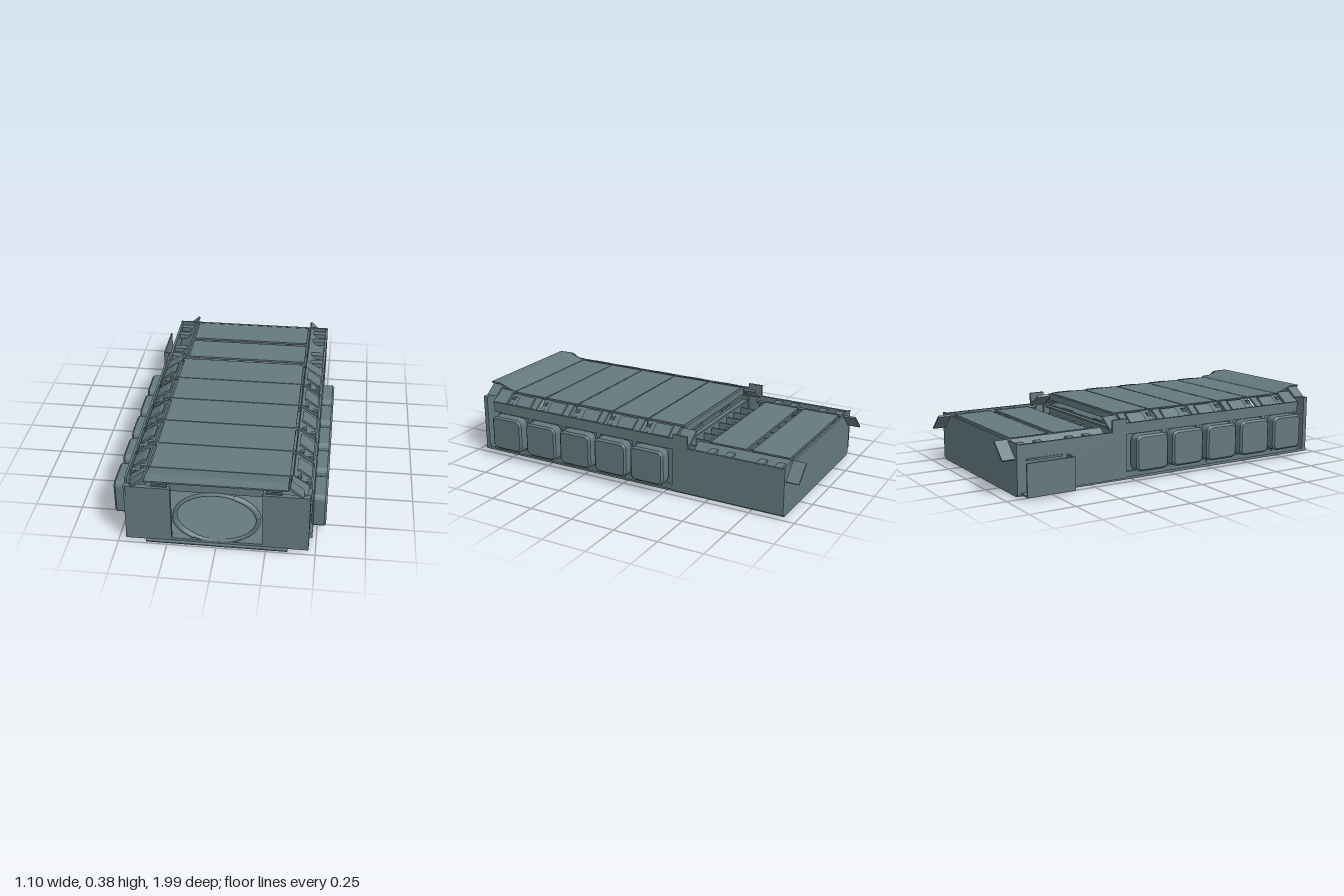
import * as THREE from 'three';

export function createModel() {
  const model = new THREE.Group();
  const slate = new THREE.MeshStandardMaterial({ color: 0x64797e });
  slate.name = 'slate blue grey';

  const add = (name, geo) => {
    const m = new THREE.Mesh(geo, slate);
    m.name = name;
    model.add(m);
    return m;
  };
  // box given by its limits
  const box = (name, x0, x1, y0, y1, z0, z1) =>
    add(name, new THREE.BoxGeometry(Math.abs(x1 - x0), y1 - y0, z1 - z0)
      .translate((x0 + x1) / 2, (y0 + y1) / 2, (z0 + z1) / 2));
  const poly = (pts) => new THREE.Shape(pts.map((p) => new THREE.Vector2(p[0], p[1])));
  // cross-section in x and y, run along z
  const alongZ = (name, pts, z0, z1) =>
    add(name, new THREE.ExtrudeGeometry(poly(pts), { depth: z1 - z0, bevelEnabled: false }).translate(0, 0, z0));
  // profile in z and y, run along x
  const alongX = (name, pts, x0, x1) =>
    add(name, new THREE.ExtrudeGeometry(poly(pts), { depth: x1 - x0, bevelEnabled: false })
      .rotateY(-Math.PI / 2).translate(x1, 0, 0));

  // floor and rear wall
  box('floor', -0.465, 0.465, 0.003, 0.02, -0.93, 0.97);
  box('frontSill', -0.36, 0.36, 0, 0.006, 0.85, 0.99);
  box('rearWall', -0.48, 0.48, 0.015, 0.275, -0.93, -0.918);

  // main roof panels, the front one flaring up
  const seams = [-0.3, -0.08, 0.15, 0.38, 0.6, 0.82];
  for (let i = 0; i < 5; i++) {
    box('roofPanel', -0.355, 0.355, 0.333, 0.345, seams[i] + 0.003, seams[i + 1] - 0.003);
  }
  for (const z of seams) {
    box('roofBeam', -0.355, 0.355, 0.306, 0.336, z - 0.012, z + 0.012);
    box('roofSeam', -0.365, 0.365, 0.334, 0.342, z - 0.012, z + 0.012);
  }
  alongX('frontRoofPanel', [[0.823, 0.333], [0.87, 0.35], [0.93, 0.37], [0.99, 0.373],
    [0.99, 0.381], [0.93, 0.381], [0.87, 0.362], [0.823, 0.345]], -0.355, 0.355);
  box('roofFrontBeam', -0.235, 0.235, 0.306, 0.375, 0.94, 0.955);

  // rear deck panels over the open bay
  box('rearDeckPanel', -0.355, 0.355, 0.268, 0.28, -0.905, -0.695);
  box('rearDeckPanel', -0.355, 0.355, 0.268, 0.28, -0.66, -0.455);
  box('bayCrossbar', -0.365, 0.365, 0.262, 0.272, -0.335, -0.31);
  box('bayGrate', -0.36, 0.36, 0.15, 0.16, -0.72, -0.31);
  for (let i = 0; i < 8; i++) {
    const x = -0.33 + i * 0.0943;
    box('bayRib', x - 0.006, x + 0.006, 0.16, 0.23, -0.9, -0.31);
  }
  for (const z of [-0.68, -0.42, -0.37]) box('bayTie', -0.36, 0.36, 0.2, 0.212, z - 0.006, z + 0.006);

  // inner bulkhead with a chamfered door and round hub
  box('bulkhead', -0.36, 0.36, 0.02, 0.275, -0.31, -0.295);
  box('doorPanel', -0.115, 0.115, 0.03, 0.265, -0.295, -0.27);
  const frame = poly([[-0.125, 0.02], [0.125, 0.02], [0.125, 0.19], [0.085, 0.235], [-0.085, 0.235], [-0.125, 0.19]]);
  frame.holes.push(new THREE.Path([[-0.11, 0.03], [0.11, 0.03], [0.11, 0.185], [0.078, 0.222], [-0.078, 0.222], [-0.11, 0.185]]
    .map((p) => new THREE.Vector2(p[0], p[1]))));
  add('doorFrame', new THREE.ExtrudeGeometry(frame, { depth: 0.03, bevelEnabled: false }).translate(0, 0, -0.27));
  add('doorHub', new THREE.TorusGeometry(0.027, 0.005, 8, 28).translate(0, 0.115, -0.268));

  // oval entrance ring with two collars
  add('entranceRing', new THREE.TorusGeometry(0.21, 0.012, 10, 64).scale(1, 0.69, 1).translate(0, 0.16, 0.96));
  for (const a of [0.15, Math.PI]) {
    add('ringCollar', new THREE.TorusGeometry(0.212, 0.017, 10, 24, 1.0).rotateZ(a).scale(1, 0.69, 1).translate(0, 0.16, 0.96));
  }

  // pod: rounded panel that stands out from the wall, bevelled all round
  const w = 0.09, h = 0.087, r = 0.025;
  const podShape = new THREE.Shape();
  podShape.moveTo(-w + r, -h).lineTo(w - r, -h).quadraticCurveTo(w, -h, w, -h + r)
    .lineTo(w, h - r).quadraticCurveTo(w, h, w - r, h).lineTo(-w + r, h)
    .quadraticCurveTo(-w, h, -w, h - r).lineTo(-w, -h + r).quadraticCurveTo(-w, -h, -w + r, -h);
  const podGeo = new THREE.ExtrudeGeometry(podShape, {
    depth: 0.055, bevelThickness: 0.01, bevelSize: 0.01, bevelSegments: 1, curveSegments: 4,
  }).rotateY(Math.PI / 2);

  for (const s of [1, -1]) {
    const side = (name, x0, x1, ...rest) => box(name, s * x0, s * x1, ...rest);
    const strip = (name, pts, z0, z1) => alongZ(name, pts.map((p) => [s * p[0], p[1]]), z0, z1);

    // side walls
    side('sideWall', 0.45, 0.465, 0.02, 0.26, -0.3, 0.86);
    side('wallFoot', 0.45, 0.48, 0.02, 0.05, -0.3, 0.89);
    side('rearSideWall', 0.466, 0.48, 0.015, 0.27, -0.93, -0.295);
    side('upperSidePlate', 0.466, 0.478, 0.25, 0.31, -0.3, 0.88);
    side('endSidePlate', 0.466, 0.48, 0.265, 0.335, -0.38, -0.295);

    // front wall panel, entrance jamb and roof clamps
    side('frontPanel', 0.23, 0.455, 0.015, 0.325, 0.945, 0.97);
    side('cornerPost', 0.445, 0.465, 0.01, 0.325, 0.94, 0.965);
    side('entranceJamb', 0.12, 0.235, 0.02, 0.275, -0.29, -0.28);
    for (const y of [0.332, 0.347, 0.36]) side('roofClamp', 0.245, 0.325, y, y + 0.008, 0.9, 0.965);
    side('clampBlock', 0.265, 0.305, 0.325, 0.37, 0.9, 0.955);

    // sloped shoulder segments
    for (let i = 0; i < 5; i++) {
      const a = seams[i], b = seams[i + 1];
      strip('shoulder', [[0.365, 0.332], [0.46, 0.268], [0.467, 0.28], [0.372, 0.343]], a + 0.012, b - 0.012);
      strip('shoulderArmour', [[0.385, 0.328], [0.455, 0.281], [0.462, 0.292], [0.4, 0.34], [0.385, 0.343]], a + 0.05, a + 0.15);
      side('shoulderClip', 0.385, 0.41, 0.3, 0.335, b - 0.04, b - 0.02);
      side('shoulderClip', 0.43, 0.46, 0.265, 0.305, b - 0.04, b - 0.02);
    }
    strip('frontShoulder', [[0.355, 0.366], [0.42, 0.322], [0.432, 0.326], [0.365, 0.378]], 0.9, 0.965);
    strip('frontShoulderLink', [[0.36, 0.34], [0.445, 0.285], [0.452, 0.296], [0.366, 0.354]], 0.82, 0.91);
    strip('endShoulder', [[0.365, 0.325], [0.46, 0.262], [0.467, 0.274], [0.372, 0.337]], -0.38, -0.3);

    // sloped rear gutter running out past the back wall
    strip('rearGutter', [[0.365, 0.272], [0.455, 0.19], [0.462, 0.197], [0.372, 0.28]], -1, -0.39);
    for (const z of [-0.88, -0.78, -0.6, -0.5]) {
      side('gutterClip', 0.38, 0.47, 0.235, 0.262, z - 0.02, z + 0.02);
    }

    // row of pods
    for (const z of [-0.17, 0.058, 0.285, 0.515, 0.75]) {
      const pod = add('pod', podGeo);
      pod.position.set(s > 0 ? 0.48 : -0.535, 0.153, z);
      side('podBracket', 0.46, 0.482, 0.03, 0.24, z - 0.06, z + 0.06);
    }
    for (const z of [-0.055, 0.17, 0.4, 0.63]) side('wallRib', 0.46, 0.474, 0.05, 0.31, z - 0.012, z + 0.012);
  }

  // side alcove, open at the rear and the top
  box('alcoveFloor', -0.55, -0.47, 0.015, 0.025, -0.91, -0.64);
  box('alcoveOuterWall', -0.55, -0.542, 0.015, 0.19, -0.91, -0.64);
  box('alcoveFrontWall', -0.55, -0.47, 0.015, 0.19, -0.65, -0.64);
  for (let i = 0; i < 6; i++) {
    box('alcoveSlat', -0.486, -0.478, 0.06 + i * 0.025, 0.07 + i * 0.025, -0.88, -0.68);
  }

  return model;
}
